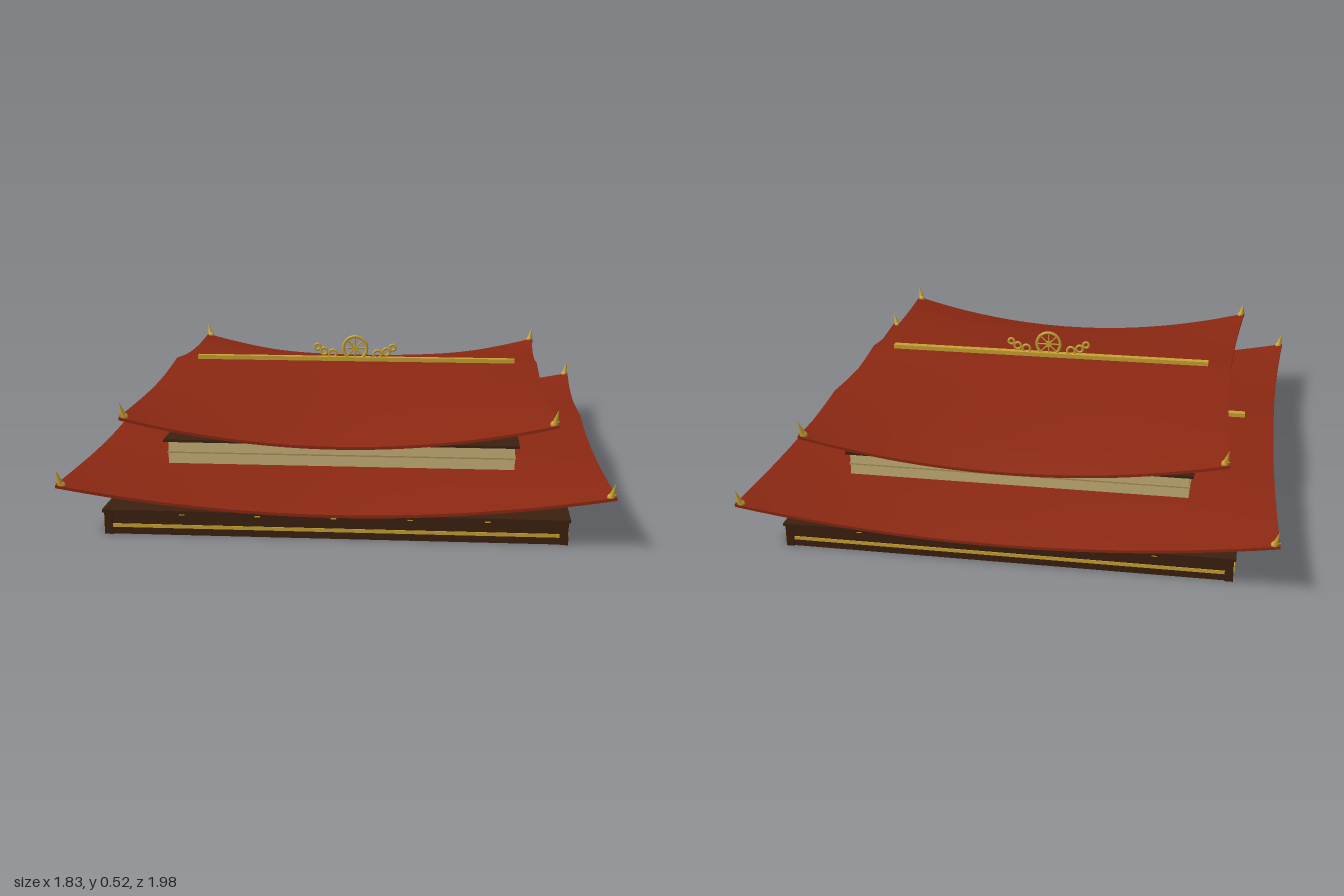
import * as THREE from 'three';

const mat = (name, color) => {
  const m = new THREE.MeshStandardMaterial({ color });
  m.name = name;
  return m;
};

export function createModel() {
  const red = mat('roof red', 0x8b2812);
  const wood = mat('dark wood', 0x3c2010);
  const gold = mat('gold', 0xc9a232);
  const cream = mat('cream wall', 0xc8b078);
  const rail = mat('wall rail', 0xa98f55);

  const model = new THREE.Group();
  model.name = 'tieredRoof';

  const add = (name, geo, material, x = 0, y = 0, z = 0, parent = model) => {
    const m = new THREE.Mesh(geo, material);
    m.name = name;
    m.position.set(x, y, z);
    parent.add(m);
    return m;
  };
  const box = (name, material, w, y0, y1, d, x = 0, z = 0, parent = model) =>
    add(name, new THREE.BoxGeometry(w, y1 - y0, d), material, x, (y0 + y1) / 2, z, parent);

  // Gabled sheet: flat ridge, eaves steepening outward, corners lifted and flared
  function roof(name, { x, z, ridge, drop, lift, flare }) {
    const thick = 0.01;
    const geo = new THREE.BoxGeometry(2, 1, 2, 28, 1, 32);
    const p = geo.attributes.position;
    for (let i = 0; i < p.count; i++) {
      const u = p.getX(i), v = p.getZ(i), t = Math.abs(v);
      const y = ridge - drop * (0.75 * t + 0.25 * t ** 4) + lift * u * u * t ** 2.3;
      p.setXYZ(i, u * (x + flare * v * v), y - (p.getY(i) < 0 ? thick : 0), v * (z + flare * u * u));
    }
    geo.computeVertexNormals();
    add(name, geo, red);
  }

  // Pointed tips on the four roof corners
  function finials(name, x, y, z) {
    for (const sx of [-1, 1]) for (const sz of [-1, 1]) {
      const g = new THREE.Group();
      g.name = name;
      g.position.set(sx * x, y, sz * z);
      g.rotation.y = Math.atan2(sx, sz);
      const spike = add('spike', new THREE.ConeGeometry(0.012, 0.055, 8), gold, 0, 0.027, 0.005, g);
      spike.rotation.x = 0.3;
      const barb = add('barb', new THREE.ConeGeometry(0.008, 0.035, 8), gold, 0, 0.008, 0.006, g);
      barb.rotation.x = 1.1;
      add('knob', new THREE.SphereGeometry(0.013, 10, 8), gold, 0, 0, -0.006, g);
      model.add(g);
    }
  }

  // Base frame of beams with gold bands running through them
  const base = new THREE.Group();
  base.name = 'base';
  base.position.z = 0.008;
  model.add(base);
  for (const s of [-1, 1]) {
    box('sideBeam', wood, 0.028, 0, 0.078, 1.835, s * 0.754, 0, base);
    box('sideBand', gold, 0.034, 0.024, 0.036, 1.825, s * 0.754, 0, base);
    box('endBeam', wood, 1.48, 0, 0.078, 0.028, 0, s * 0.898, base);
    box('endBand', gold, 1.5, 0.024, 0.036, 0.034, 0, s * 0.898, base);
  }
  box('ceiling', wood, 1.55, 0.075, 0.085, 1.84, 0, 0, base);

  // Ceiling grid and the small studs at its ends
  for (let i = -2; i <= 2; i++) {
    box('gridLong', gold, 0.012, 0.068, 0.076, 1.7, i * 0.253, 0, base);
    box('gridCross', gold, 1.42, 0.068, 0.076, 0.012, 0, i * 0.3, base);
    for (const s of [-1, 1]) box('stud', gold, 0.018, 0.069, 0.075, 0.008, i * 0.253, s * 0.912, base);
  }

  // Lower roof
  roof('lowerRoof', { x: 0.88, z: 0.953, ridge: 0.22, drop: 0.127, lift: 0.09, flare: 0.032 });
  box('lowerRidge', gold, 1.54, 0.218, 0.234, 0.026);
  finials('lowerFinial', 0.898, 0.18, 0.975);

  // Middle storey between the roofs
  box('upperWall', cream, 1.2, 0.18, 0.26, 1.352);
  box('wallRail', rail, 1.206, 0.217, 0.222, 1.358);
  box('wallCap', wood, 1.23, 0.258, 0.267, 1.375);

  // Upper roof
  roof('upperRoof', { x: 0.707, z: 0.786, ridge: 0.422, drop: 0.143, lift: 0.095, flare: 0.029 });
  box('upperRidge', gold, 1.24, 0.419, 0.436, 0.026);
  finials('upperFinial', 0.724, 0.373, 0.802);

  // Ridge crest: spoked wheel flanked by scroll rings
  const crest = new THREE.Group();
  crest.name = 'crest';
  model.add(crest);
  const ring = (name, r, tube, x, y) =>
    add(name, new THREE.TorusGeometry(r, tube, 8, 28), gold, x, y, 0, crest);
  ring('wheelRim', 0.046, 0.006, 0, 0.47);
  const hub = add('wheelHub', new THREE.CylinderGeometry(0.012, 0.012, 0.014, 12), gold, 0, 0.47, 0, crest);
  hub.rotation.x = Math.PI / 2;
  for (let i = 0; i < 4; i++) {
    const spoke = add('spoke', new THREE.CylinderGeometry(0.003, 0.003, 0.092, 6), gold, 0, 0.47, 0, crest);
    spoke.rotation.z = i * Math.PI / 4;
  }
  for (const s of [-1, 1]) {
    ring('scrollLow', 0.015, 0.005, s * 0.088, 0.447);
    ring('scrollMiddle', 0.013, 0.005, s * 0.122, 0.457);
    ring('scrollHigh', 0.011, 0.005, s * 0.147, 0.474);
  }
  return model;
}
